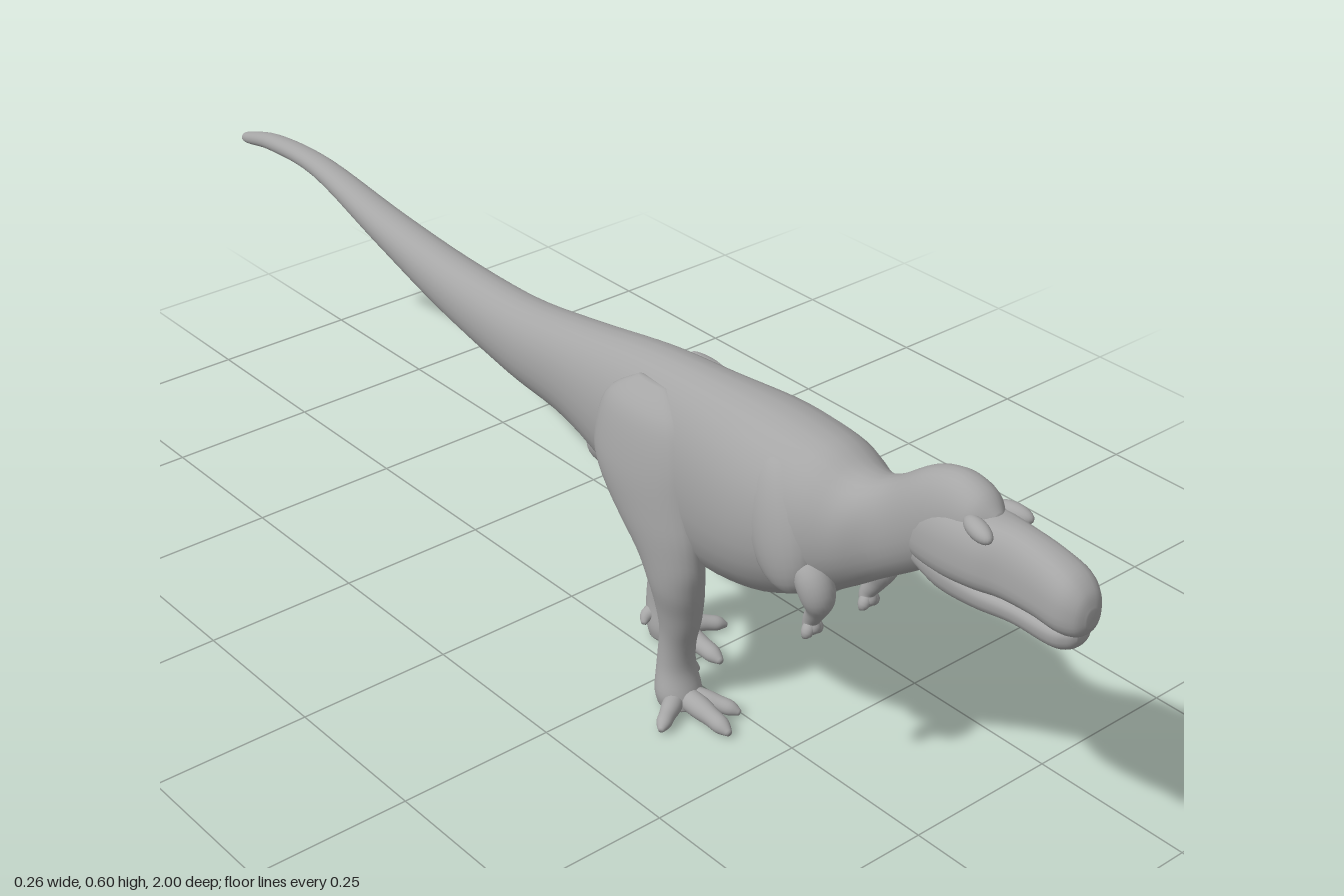
import * as THREE from 'three';

const MID = -0.01; // the body's centre line sits slightly to one side
const SEG = 28;

// Catmull-Rom interpolation of every column in a table of stations
function smooth(rows, steps = 5) {
  const out = [];
  const at = (i) => rows[Math.min(Math.max(i, 0), rows.length - 1)];
  for (let i = 0; i < rows.length - 1; i++) {
    for (let k = 0; k < steps; k++) {
      const t = k / steps;
      out.push(rows[i].map((b, c) => {
        const a = at(i - 1)[c], d = at(i + 1)[c], e = at(i + 2)[c];
        return b + 0.5 * t * (d - a + t * (2 * a - 5 * b + 4 * d - e + t * (3 * (b - d) + e - a)));
      }));
    }
  }
  out.push(rows[rows.length - 1].slice());
  return out;
}

// Skin a list of rings (arrays of Vector3) and close both ends
function loft(rings) {
  const n = rings[0].length, pos = [], idx = [];
  rings.forEach((r) => r.forEach((p) => pos.push(p.x, p.y, p.z)));
  for (let i = 0; i < rings.length - 1; i++) {
    for (let j = 0; j < n; j++) {
      const a = i * n + j, b = i * n + (j + 1) % n;
      idx.push(a, b, a + n, b, b + n, a + n);
    }
  }
  const last = (rings.length - 1) * n;
  [0, last].forEach((base, end) => {
    const c = new THREE.Vector3();
    rings[end ? rings.length - 1 : 0].forEach((p) => c.addScaledVector(p, 1 / n));
    const ci = pos.length / 3;
    pos.push(c.x, c.y, c.z);
    for (let j = 0; j < n; j++) {
      const a = base + j, b = base + (j + 1) % n;
      if (end) idx.push(a, b, ci); else idx.push(b, a, ci);
    }
  });
  const g = new THREE.BufferGeometry();
  g.setAttribute('position', new THREE.Float32BufferAttribute(pos, 3));
  g.setIndex(idx);
  g.computeVertexNormals();
  return g;
}

const circle = (fn) => Array.from({ length: SEG }, (_, j) => {
  const t = (j / SEG) * Math.PI * 2;
  return fn(Math.cos(t), Math.sin(t));
});
const power = (v, e) => Math.sign(v) * Math.abs(v) ** e;

// Upright sections along z: [z, centre x, top, bottom, half width, height of widest point 0..1]
function hull(rows, e = 1) {
  return loft(smooth(rows).map(([z, cx, top, bottom, w, m]) => {
    const mid = bottom + (top - bottom) * m;
    return circle((c, s) => new THREE.Vector3(cx + w * power(c, e),
      mid + (s > 0 ? top - mid : mid - bottom) * power(s, e), z));
  }));
}

// Round limb along a path: [x, y, z, radius]
function limb(rows, ref) {
  const st = smooth(rows, 4);
  const p = st.map((r) => new THREE.Vector3(r[0], r[1], r[2]));
  return loft(p.map((c, i) => {
    const T = p[Math.min(i + 1, p.length - 1)].clone().sub(p[Math.max(i - 1, 0)]).normalize();
    const U = ref.clone().cross(T).normalize(), V = T.clone().cross(U);
    return circle((a, b) => c.clone().addScaledVector(U, a * st[i][3]).addScaledVector(V, b * st[i][3]));
  }));
}

export function createModel() {
  const model = new THREE.Group();
  const skin = new THREE.MeshStandardMaterial({ color: 0xa6a6a6 });
  skin.name = 'grey skin';
  const add = (name, geo, parent = model) => {
    const m = new THREE.Mesh(geo, skin);
    m.name = name;
    parent.add(m);
    return m;
  };
  const blob = (name, p, r, rot, parent) => {
    const m = add(name, new THREE.SphereGeometry(1, 24, 16), parent);
    m.position.set(...p);
    m.scale.set(...r);
    m.rotation.set(...rot);
  };

  // Tail, trunk, neck and the dome behind the skull
  add('body', hull([
    [-1, 0.068, 0.432, 0.424, 0.005, 0.5],
    [-0.98, 0.066, 0.443, 0.422, 0.011, 0.5],
    [-0.88, 0.058, 0.472, 0.443, 0.017, 0.5],
    [-0.72, 0.045, 0.488, 0.453, 0.022, 0.5],
    [-0.5, 0.022, 0.482, 0.42, 0.033, 0.5],
    [-0.29, 0.002, 0.482, 0.385, 0.042, 0.5],
    [-0.1, -0.01, 0.49, 0.36, 0.05, 0.5],
    [0.05, -0.014, 0.512, 0.345, 0.058, 0.5],
    [0.2, MID, 0.535, 0.285, 0.073, 0.5],
    [0.33, MID, 0.546, 0.245, 0.083, 0.52],
    [0.46, MID, 0.553, 0.265, 0.099, 0.5],
    [0.56, MID, 0.545, 0.31, 0.09, 0.5],
    [0.62, MID, 0.526, 0.35, 0.068, 0.5],
    [0.67, MID, 0.542, 0.387, 0.045, 0.5],
    [0.73, MID, 0.585, 0.43, 0.041, 0.5],
    [0.78, MID, 0.6, 0.47, 0.039, 0.5],
    [0.82, MID, 0.59, 0.5, 0.033, 0.5],
    [0.845, MID, 0.565, 0.53, 0.012, 0.5],
  ], 0.95));
  blob('pelvisBump', [MID, 0.345, 0.12], [0.035, 0.04, 0.065], [-0.5, 0, 0]);

  // Skull and lower jaw
  add('skull', hull([
    [0.7, MID, 0.52, 0.46, 0.025, 0.4],
    [0.74, MID, 0.55, 0.455, 0.041, 0.4],
    [0.79, MID, 0.568, 0.455, 0.05, 0.4],
    [0.84, MID, 0.566, 0.46, 0.046, 0.38],
    [0.88, MID, 0.567, 0.465, 0.037, 0.35],
    [0.93, MID, 0.561, 0.468, 0.037, 0.35],
    [0.97, MID, 0.549, 0.464, 0.036, 0.4],
    [0.992, MID, 0.53, 0.468, 0.025, 0.45],
    [1, MID, 0.508, 0.483, 0.01, 0.5],
  ], 0.82));
  add('lowerJaw', hull([
    [0.72, MID, 0.49, 0.448, 0.03, 0.5],
    [0.78, MID, 0.49, 0.432, 0.042, 0.6],
    [0.84, MID, 0.48, 0.433, 0.039, 0.6],
    [0.9, MID, 0.48, 0.44, 0.033, 0.6],
    [0.96, MID, 0.48, 0.439, 0.032, 0.6],
    [0.982, MID, 0.478, 0.445, 0.022, 0.6],
    [0.99, MID, 0.474, 0.458, 0.01, 0.5],
  ], 0.85));

  const UP = new THREE.Vector3(0, 1, 0), FRONT = new THREE.Vector3(0, 0, 1);
  for (const s of [1, -1]) {
    const side = s > 0 ? 'left' : 'right';
    const x = (v) => MID + s * v;

    blob(side + 'Brow', [x(0.032), 0.555, 0.838], [0.013, 0.013, 0.028], [0.1, s * 0.25, 0]);
    blob(side + 'Shoulder', [x(0.06), 0.43, 0.53], [0.04, 0.1, 0.06], [-0.35, 0, s * 0.12]);

    // Small arm with two fingers
    const arm = new THREE.Group();
    arm.name = side + 'Arm';
    model.add(arm);
    add('upperArm', limb([
      [x(0.062), 0.4, 0.56, 0.015], [x(0.063), 0.375, 0.59, 0.025], [x(0.06), 0.345, 0.602, 0.024],
      [x(0.056), 0.32, 0.597, 0.015], [x(0.053), 0.298, 0.585, 0.012], [x(0.053), 0.284, 0.588, 0.012],
      [x(0.053), 0.277, 0.59, 0.005],
    ], FRONT), arm);
    for (const d of [-1, 1]) {
      add('finger', limb([
        [x(0.053), 0.297, 0.585, 0.008], [x(0.053 + d * 0.009), 0.283, 0.588, 0.009],
        [x(0.053 + d * 0.01), 0.272, 0.583, 0.003],
      ], FRONT), arm);
    }

    // Striding leg: the right one swings forward below the hip
    const stride = (y) => (s > 0 ? 0 : 0.14 * (1 - THREE.MathUtils.smoothstep(y, 0.13, 0.4)));
    const leg = new THREE.Group();
    leg.name = side + 'Leg';
    model.add(leg);
    // [y, x, z, half width, half depth]
    const rows = smooth([
      [0.515, 0.05, 0.25, 0.008, 0.03], [0.475, 0.063, 0.25, 0.027, 0.08],
      [0.4, 0.069, 0.255, 0.037, 0.1], [0.33, 0.068, 0.255, 0.039, 0.088],
      [0.27, 0.064, 0.242, 0.038, 0.062], [0.22, 0.06, 0.215, 0.037, 0.045],
      [0.17, 0.053, 0.185, 0.032, 0.036], [0.12, 0.05, 0.17, 0.028, 0.028],
      [0.07, 0.05, 0.165, 0.03, 0.027], [0.03, 0.052, 0.172, 0.036, 0.033],
      [0.008, 0.052, 0.175, 0.032, 0.034],
    ]);
    add('thighAndShank', loft(rows.map(([y, cx, cz, rx, rz]) => {
      const shift = -0.008 * THREE.MathUtils.smoothstep(y, 0, 0.3);
      return circle((c, k) => new THREE.Vector3(s * cx + shift + rx * c, y, cz + stride(y) + rz * k));
    })), leg);

    // Toes: [sideways reach, forward reach, radius]
    for (const [dx, dz, r] of [[0.074, 0.045, 0.013], [0.002, 0.113, 0.015], [-0.044, 0.085, 0.013]]) {
      const z0 = 0.175 + stride(0);
      const toe = [[0, 0.022, 1.1], [0.4, 0.02, 1.15], [0.65, 0.018, 0.95], [0.85, 0.015, 0.85], [1, 0.011, 0.3]];
      add('toe', limb(toe.map(([t, y, k]) => [s * (0.053 + dx * t), y, z0 + dz * t, r * k]), UP), leg);
    }
    add('hindToe', limb([
      [s * 0.04, 0.055, 0.165 + stride(0), 0.012], [s * 0.018, 0.045, 0.16 + stride(0), 0.011],
      [s * 0.007, 0.035, 0.165 + stride(0), 0.004],
    ], UP), leg);
  }
  return model;
}
